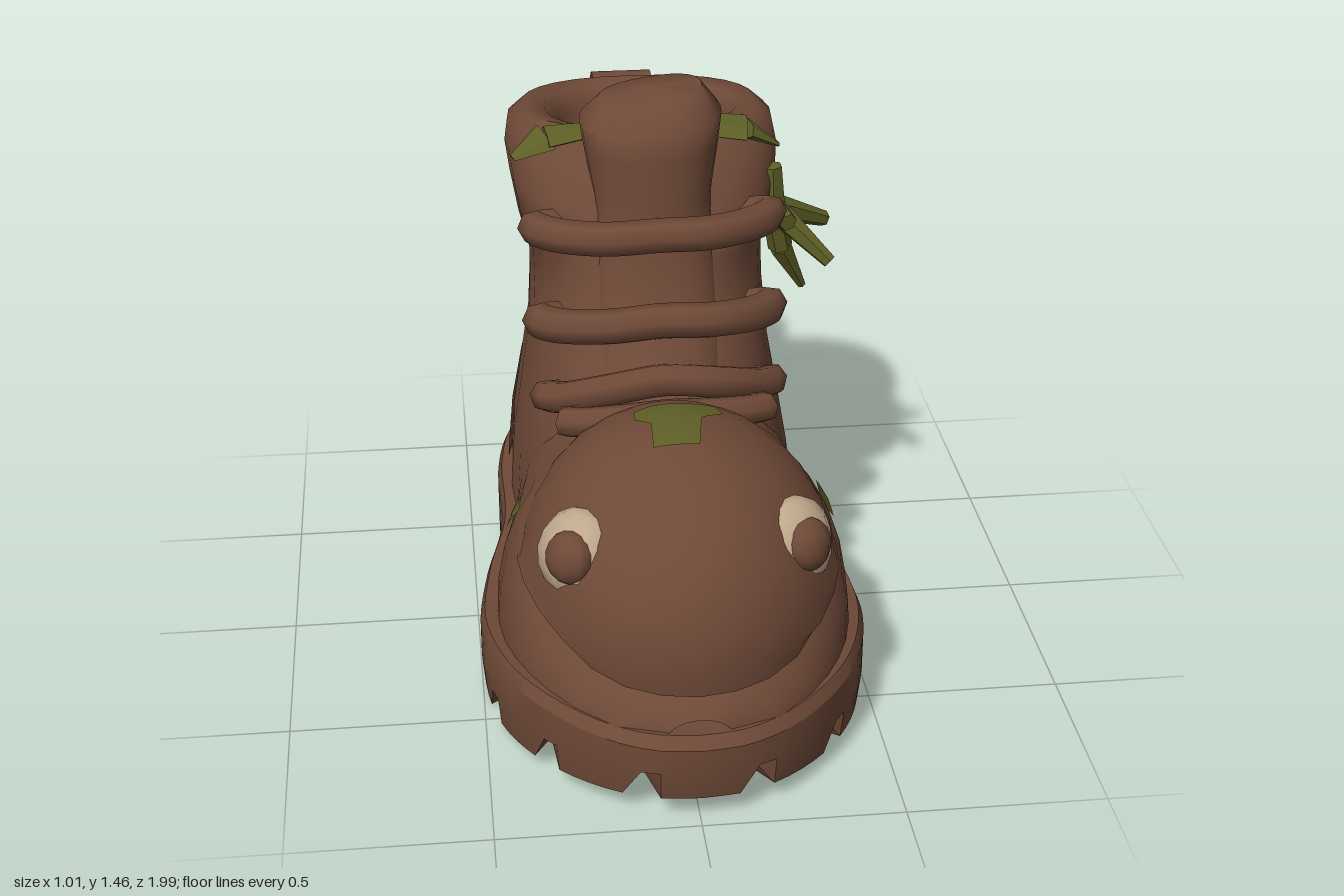
import * as THREE from 'three';
import { mergeVertices, toCreasedNormals } from 'three/addons/utils/BufferGeometryUtils.js';

const V = (x, y, z) => new THREE.Vector3(x, y, z);
const colour = (name, hex) => new THREE.MeshStandardMaterial({ name, color: hex, side: THREE.DoubleSide });

// Piecewise linear lookup in a table of [key, value] with rising keys
function lookup(table, k) {
  if (k <= table[0][0]) return table[0][1];
  for (let i = 1; i < table.length; i++) {
    const [k0, v0] = table[i - 1], [k1, v1] = table[i];
    if (k <= k1) return v0 + (v1 - v0) * (k - k0) / (k1 - k0);
  }
  return table[table.length - 1][1];
}

// Skin through rows of points
function loft(rows, closed = true, crease = 0.7) {
  const n = rows[0].length, pos = [], index = [];
  rows.forEach(r => r.forEach(p => pos.push(p.x, p.y, p.z)));
  for (let j = 0; j < rows.length - 1; j++) {
    for (let i = 0; i < (closed ? n : n - 1); i++) {
      const a = j * n + i, b = j * n + (i + 1) % n;
      index.push(a, a + n, b, b, a + n, b + n);
    }
  }
  const g = new THREE.BufferGeometry();
  g.setAttribute('position', new THREE.Float32BufferAttribute(pos, 3));
  g.setIndex(index);
  return toCreasedNormals(g, crease);
}

const power = (v, e) => Math.sign(v) * Math.abs(v) ** e;

// Rounded horizontal ring, tilted sideways or along z
function ring(y, back, front, w, tiltX = 0, tiltZ = 0) {
  return Array.from({ length: 28 }, (_, i) => {
    const t = i / 28 * Math.PI * 2, x = w * power(Math.cos(t), 0.84);
    const dz = (front - back) / 2 * power(Math.sin(t), 0.84);
    return V(x, y + tiltX * x + tiltZ * dz, (back + front) / 2 + dz);
  });
}

export function createModel() {
  const boot = new THREE.Group();
  boot.name = 'boot';
  const leather = colour('brown leather', 0x6e4937);
  const moss = colour('moss green', 0x5e5f26);
  const ivory = colour('ivory', 0xc0a98c);
  const add = (name, geometry, material, parent = boot) => {
    const m = new THREE.Mesh(geometry, material);
    m.name = name;
    parent.add(m);
    return m;
  };

  // Sole with arch and tread notches
  const half = new THREE.CatmullRomCurve3([
    [0, 0.99], [0.11, 0.975], [0.23, 0.91], [0.355, 0.78], [0.45, 0.6], [0.5, 0.35], [0.475, 0.12], [0.425, -0.1],
    [0.42, -0.4], [0.385, -0.6], [0.3, -0.77], [0.15, -0.865], [0, -0.885],
  ].map(([x, z]) => V(x, 0, z))).getSpacedPoints(48);
  const outline = [...half, ...half.slice(1, -1).reverse().map(p => V(-p.x, 0, p.z))];
  const top = z => lookup([[-0.88, 0.29], [-0.2, 0.27], [0.3, 0.22], [0.8, 0.25], [1, 0.25]], z);
  const bottom = z => lookup([[-0.2, 0.01], [-0.15, 0.1], [-0.03, 0.09], [0.03, 0.025], [0.5, 0.015], [1, 0.075]], z);
  const soleRow = (scale, height, notchIn = 0, notchUp = 0) => outline.map((p, i) => {
    const notch = i % 6 === 3 ? 1 : 0, s = scale - notch * notchIn;
    return V(p.x * s, height(p.z) + notch * notchUp, 0.05 + (p.z - 0.05) * s);
  });
  const soleRows = [
    soleRow(0.86, top), soleRow(0.975, top), soleRow(1, z => top(z) - 0.03),
    soleRow(1, z => bottom(z) + 0.08), soleRow(0.985, bottom, 0.04, 0.055), soleRow(0.87, bottom),
  ];
  add('sole', loft(soleRows, true, 0.5), leather);
  const last = soleRows[soleRows.length - 1], left = last.slice(0, 49);
  add('soleBottom', loft([left, left.map((_, i) => last[(96 - i) % 96])], false), leather);

  // Foot: arched sections from lower lip back to the ankle [z, half width, height]
  const foot = add('foot', loft([
    [0.95, 0.09, 0.28], [0.91, 0.21, 0.325], [0.82, 0.3, 0.385], [0.74, 0.35, 0.44], [0.66, 0.39, 0.48], [0.58, 0.42, 0.54],
    [0.48, 0.445, 0.65], [0.38, 0.455, 0.77], [0.3, 0.455, 0.75], [0.2, 0.435, 0.72], [0.05, 0.405, 0.72],
    [-0.1, 0.385, 0.7], [-0.3, 0.38, 0.6],
  ].map(([z, w, h]) => Array.from({ length: 19 }, (_, i) => {
    const t = i / 18 * Math.PI;
    return V(w * power(Math.cos(t), 0.9), 0.2 + (h - 0.2) * Math.max(0, Math.sin(t)) ** 0.9, z);
  })), false, 1), leather);

  // Toe cap: dome cut off along the slightly open mouth
  let dome = new THREE.SphereGeometry(1, 28, 20);
  dome.deleteAttribute('normal');
  dome.deleteAttribute('uv');
  dome = mergeVertices(dome.scale(0.405, 0.425, 0.475).translate(0, 0.4, 0.465));
  const dp = dome.attributes.position;
  for (let i = 0; i < dp.count; i++) {
    const cut = lookup([[0.6, 0.46], [0.75, 0.42], [0.85, 0.355], [0.94, 0.335]], dp.getZ(i));
    dp.setY(i, Math.max(dp.getY(i), cut));
  }
  const cap = add('toeCap', toCreasedNormals(dome, 0.8), leather);

  // Shaft, padded collar and lining in one skin [y, back, front, half width, tilts]
  const shaft = add('shaft', loft([
    [0.22, -0.845, 0.3, 0.39], [0.45, -0.84, 0.3, 0.375], [0.6, -0.825, 0.25, 0.35], [0.75, -0.785, 0.15, 0.325],
    [0.9, -0.755, 0.04, 0.315], [1.03, -0.75, -0.02, 0.315], [1.05, -0.765, -0.03, 0.34],
    [1.16, -0.78, -0.07, 0.36], [1.23, -0.79, -0.15, 0.37, 0, 0.05], [1.285, -0.79, -0.2, 0.36, 0, 0.08],
    [1.32, -0.76, -0.23, 0.32, 0, 0.08], [1.315, -0.71, -0.25, 0.26, 0, 0.08], [1.26, -0.665, -0.28, 0.22, 0, 0.05],
    [0.82, -0.655, -0.28, 0.215], [0.8, -0.64, -0.3, 0.2], [0.8, -0.45, -0.449, 0.001],
  ].map(r => ring(...r)), true, 0.9), leather);

  // Tongue
  add('tongue', loft([
    [0.76, -0.2, 0.17, 0.18], [0.9, -0.22, 0.07, 0.175], [1.05, -0.27, 0.01, 0.165], [1.2, -0.33, -0.01, 0.155],
    [1.32, -0.37, -0.01, 0.175, 0.05], [1.39, -0.375, -0.02, 0.185, 0.08], [1.45, -0.31, -0.09, 0.135, 0.14],
    [1.465, -0.2, -0.199, 0.001],
  ].map(r => ring(...r)), true, 0.9), leather);

  // Laces [y, half width, front z, end z, drop at the ends, radius]
  const laces = new THREE.Group();
  laces.name = 'laces';
  boot.add(laces);
  for (const [y, w, front, end, drop, r] of [
    [1.135, 0.31, 0.02, -0.13, 0.015, 0.046], [0.925, 0.305, 0.09, -0.07, 0.045, 0.048],
    [0.795, 0.3, 0.165, 0.03, 0.09, 0.043], [0.735, 0.265, 0.245, 0.18, 0.03, 0.04],
  ]) {
    const pts = [-1, -0.85, -0.45, 0, 0.45, 0.85, 1].map(s =>
      V(w * s, y - drop * s * s + 0.008 * s, end + (front - end) * (1 - s ** 4)));
    pts.unshift(V(-w + 0.08, y - drop - 0.02, end - 0.03));
    pts.push(V(w - 0.08, y - drop - 0.01, end - 0.03));
    add('lace', new THREE.TubeGeometry(new THREE.CatmullRomCurve3(pts), 30, r, 7), leather, laces);
  }

  // Pull loop at the back, drawn with distance backwards and height
  const smooth = list => new THREE.SplineCurve(list.map(p => new THREE.Vector2(...p))).getPoints(24);
  const strap = new THREE.Shape(smooth([
    [0.74, 0.91], [0.77, 1.08], [0.82, 1.2], [0.91, 1.255], [0.985, 1.22], [0.99, 1.13], [0.94, 1.03], [0.85, 0.95], [0.74, 0.91]]));
  strap.holes.push(new THREE.Path(smooth([
    [0.82, 1.01], [0.84, 1.1], [0.88, 1.165], [0.92, 1.185], [0.945, 1.16], [0.935, 1.11], [0.885, 1.055], [0.82, 1.01]])));
  const loop = new THREE.ExtrudeGeometry(strap, { depth: 0.17, bevelEnabled: false });
  add('pullLoop', toCreasedNormals(loop.rotateY(Math.PI / 2).translate(-0.095, 0, 0), 0.7), leather);

  // Thin plates laid over the surface along a direction
  boot.updateMatrixWorld(true);
  const targets = [foot, cap, shaft], caster = new THREE.Raycaster();
  const aims = {
    left: (a, b) => [V(2, b, a), V(-1, 0, 0)],
    right: (a, b) => [V(-2, b, a), V(1, 0, 0)],
    back: (a, b) => [V(a, b, -2), V(0, 0, 1)],
    top: (a, b) => [V(a, 3, b), V(0, -1, 0)],
  };
  function plate(name, material, aim, corners, lift) {
    const edge = [];
    corners.forEach((p, i) => {
      const q = corners[(i + 1) % corners.length];
      for (let k = 0; k < 4; k++) edge.push([p[0] + (q[0] - p[0]) * k / 4, p[1] + (q[1] - p[1]) * k / 4]);
    });
    const mid = [0, 1].map(k => corners.reduce((s, p) => s + p[k], 0) / corners.length);
    const rows = [1, 0.8, 0.6, 0.4, 0.2, 0.001].map(s => edge.map(p => {
      const [from, dir] = aims[aim](mid[0] + (p[0] - mid[0]) * s, mid[1] + (p[1] - mid[1]) * s);
      caster.set(from, dir);
      const hit = caster.intersectObjects(targets, false)[0];
      if (!hit) return from.addScaledVector(dir, 1.6);
      const normal = hit.face.normal.clone();
      if (normal.dot(dir) > 0) normal.negate();
      return hit.point.addScaledVector(normal, lift);
    }));
    add(name, loft(rows, true, 1), material);
  }

  // Heel counters and moss on both sides
  for (const side of ['left', 'right']) {
    plate('heelCounter', leather, side,
      [[-0.42, 0.28], [-0.46, 0.45], [-0.56, 0.6], [-0.66, 0.68], [-0.75, 0.69], [-0.78, 0.45], [-0.78, 0.28]], 0.009);
    plate('sideMoss', moss, side, [[0.35, 0.53], [0.29, 0.54], [0.23, 0.48], [0.24, 0.43], [0.29, 0.43], [0.31, 0.48]], 0.011);
    plate('heelSideMoss', moss, side, [[-0.52, 0.32], [-0.57, 0.39], [-0.63, 0.41], [-0.66, 0.36], [-0.59, 0.31]], 0.016);
  }
  plate('toeMoss', moss, 'top',
    [[-0.1, 0.38], [-0.05, 0.355], [0.1, 0.36], [0.115, 0.41], [0.06, 0.45], [0.04, 0.57], [-0.07, 0.57], [-0.065, 0.47], [-0.1, 0.43]], 0.011);
  plate('heelMoss', moss, 'back',
    [[-0.16, 0.78], [-0.08, 0.75], [0.02, 0.78], [0.17, 0.77], [0.17, 0.64], [0.22, 0.53], [0.1, 0.5], [0, 0.53], [-0.12, 0.5], [-0.22, 0.54], [-0.17, 0.64]], 0.018);

  // Eyes, pupils looking slightly forward
  for (const s of [1, -1]) {
    const eye = new THREE.Group();
    eye.name = s > 0 ? 'leftEye' : 'rightEye';
    eye.position.set(0.262 * s, 0.59, 0.67);
    eye.lookAt(V(s * (0.262 + 0.64), 0.59 + 0.25, 0.67 + 0.66));
    boot.add(eye);
    add('eyeWhite', new THREE.SphereGeometry(1, 9, 8).scale(0.118, 0.115, 0.08), ivory, eye);
    add('pupil', new THREE.SphereGeometry(1, 10, 8).scale(0.066, 0.066, 0.045).translate(-0.012 * s, 0.006, 0.056), leather, eye);
  }

  // Hanging vine and leaves on the collar
  const strand = (name, a, b, r0, r1, flat = 1) => {
    const d = b.clone().sub(a);
    const m = add(name, toCreasedNormals(new THREE.CylinderGeometry(r1, r0, d.length(), 6), 0.5), moss);
    m.scale.x = flat;
    m.position.copy(a).addScaledVector(d, 0.5);
    m.quaternion.setFromUnitVectors(V(0, 1, 0), d.normalize());
  };
  const knot = V(0.34, 1.08, -0.28), bend = V(0.37, 0.95, -0.31);
  for (const [tip, r] of [
    [V(0.335, 1.2, -0.275), 0.03], [V(0.5, 1, -0.37), 0.022], [V(0.49, 0.94, -0.21), 0.02], [V(0.37, 1.07, -0.185), 0.025],
  ]) strand('vine', knot, tip, 0.038, r);
  strand('vine', knot, bend, 0.03, 0.034);
  strand('vine', bend, V(0.44, 0.81, -0.355), 0.034, 0.012);
  strand('collarLeaf', V(0.16, 1.335, -0.245), V(0.26, 1.325, -0.235), 0.07, 0.075, 0.3);
  strand('collarLeaf', V(0.26, 1.325, -0.235), V(0.345, 1.275, -0.24), 0.075, 0.02, 0.3);
  strand('collarLeaf', V(-0.17, 1.33, -0.245), V(-0.27, 1.32, -0.235), 0.045, 0.06, 0.35);
  strand('collarLeaf', V(-0.27, 1.32, -0.235), V(-0.36, 1.275, -0.21), 0.06, 0.015, 0.35);

  return boot;
}
